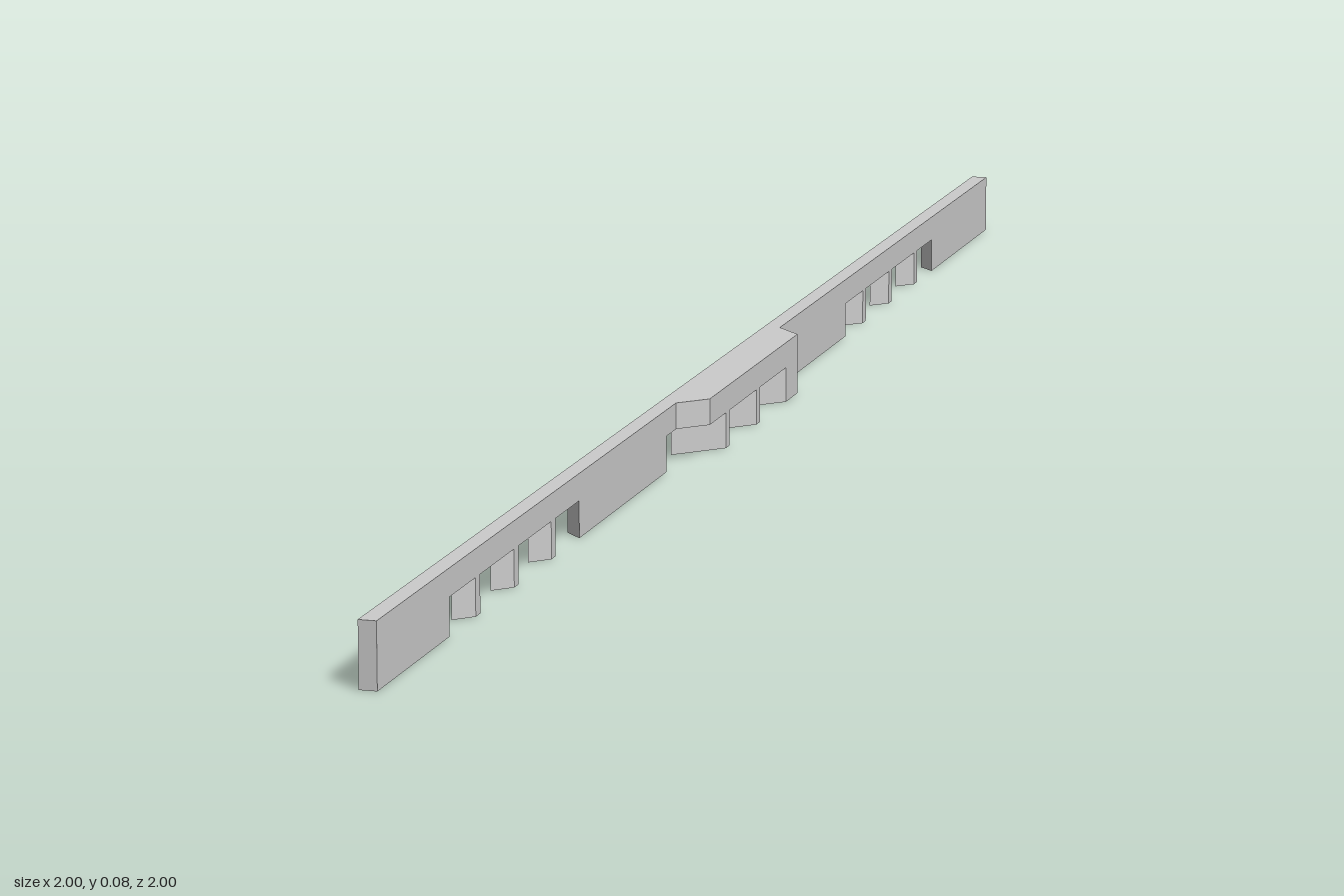
import * as THREE from 'three';

// The wall runs diagonally, between the lines x + z = BACK and x + z = FRONT.
const BACK = -0.016, FRONT = 0.016, BAY = 0.066;
const SILL = 0.048, TOP = 0.083, END = 0.992;

export function createModel() {
  const group = new THREE.Group();
  group.name = 'diagonalWall';
  const material = new THREE.MeshStandardMaterial({ color: 0xcccccc, flatShading: true });

  // Upright prism over a footprint of [x, z] corners
  const prism = (name, corners, y0, y1) => {
    const shape = new THREE.Shape(corners.map(([x, z]) => new THREE.Vector2(x, -z)));
    const geometry = new THREE.ExtrudeGeometry(shape, { depth: y1 - y0, bevelEnabled: false });
    geometry.rotateX(-Math.PI / 2).translate(0, y0, 0);
    const mesh = new THREE.Mesh(geometry, material);
    mesh.name = name;
    group.add(mesh);
  };

  // Corner on the line x + z = s: square to the wall, at fixed x, or at fixed z
  const square = (b, s) => [b + s / 2, s / 2 - b];
  const atX = (x, s) => [x, s - x];
  const atZ = (z, s) => [s - z, z];
  const strip = (endA, a, endB, b, back, front) =>
    [endA(a, back), endA(a, front), endB(b, front), endB(b, back)];

  // Continuous upper band of the wall
  prism('upperWall', strip(square, -END, square, END, BACK, FRONT), SILL, TOP);

  // Three rows of openings, each with three posts
  const rows = [
    { start: -0.814, end: -0.456, posts: 0.647, front: FRONT },
    { start: -0.203, end: 0.146, posts: 0.02, front: BAY },
    { start: 0.414, end: 0.765, posts: -0.58, front: FRONT },
  ];
  let from = -END, fromEnd = square;
  for (const row of rows) {
    prism('lowerWall', strip(fromEnd, from, square, row.start, BACK, FRONT), 0, SILL);
    for (const i of [-1, 0, 1]) {
      const z = row.posts + i * 0.102;
      prism('post', strip(atZ, z + 0.006, atZ, z - 0.006, BACK, row.front), 0, SILL);
    }
    from = row.end;
    fromEnd = atX;
  }
  prism('lowerWall', strip(fromEnd, from, square, END, BACK, FRONT), 0, SILL);

  // Projecting bay with slanted ends, carried by the middle posts and one solid pier
  prism('bay', strip(atZ, 0.18, atX, 0.182, FRONT, BAY), SILL, TOP);
  prism('bayPier', strip(atX, 0.146, atX, 0.182, FRONT, BAY), 0, SILL);

  return group;
}
